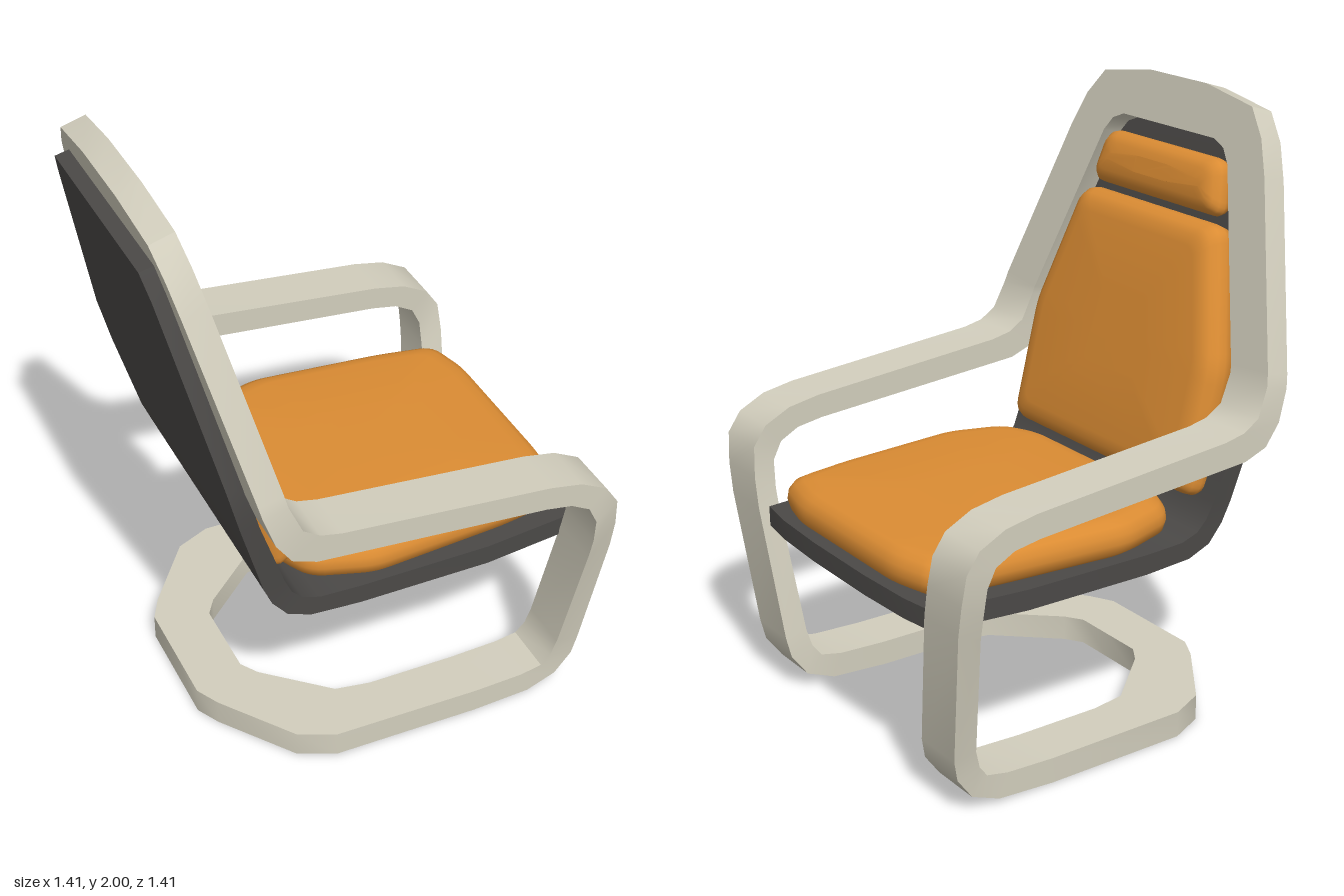
import * as THREE from 'three';
import { toCreasedNormals } from 'three/addons/utils/BufferGeometryUtils.js';

const V = (x, y, z) => new THREE.Vector3(x, y, z);

// Skins a list of equal-sized rings; either joined end to end or capped.
function loft(rings, closed, crease) {
  const n = rings[0].length, m = rings.length, index = [];
  const pts = rings.flat();
  for (let i = 0; i < (closed ? m : m - 1); i++) {
    for (let j = 0; j < n; j++) {
      const k = (j + 1) % n, a = i * n, b = ((i + 1) % m) * n;
      index.push(a + j, a + k, b + k, a + j, b + k, b + j);
    }
  }
  if (!closed) {
    const e = (m - 1) * n;
    for (let j = 1; j < n - 1; j++) index.push(0, j + 1, j, e, e + j, e + j + 1);
  }
  // Turn all faces outward, judged by the signed volume
  let volume = 0;
  for (let i = 0; i < index.length; i += 3) {
    volume += pts[index[i]].dot(pts[index[i + 1]].clone().cross(pts[index[i + 2]]));
  }
  if (volume < 0) index.reverse();
  const g = new THREE.BufferGeometry().setFromPoints(pts);
  g.setIndex(index);
  return toCreasedNormals(g, crease);
}

// Outline with its corners rounded by quadratic curves
function roundOutline(points, r) {
  const out = [], n = points.length;
  points.forEach((p, i) => {
    const c = new THREE.Vector2(...p);
    const toward = (q) => {
      const d = new THREE.Vector2(...q).sub(c);
      return c.clone().addScaledVector(d.normalize(), r);
    };
    const curve = new THREE.QuadraticBezierCurve(
      toward(points[(i + n - 1) % n]), c, toward(points[(i + 1) % n]));
    out.push(...curve.getPoints(5));
  });
  return out;
}

// Soft cushion: half outline in (along, across), mirrored, raised on a tilted plane
function cushion(half, r, thick, origin, along, normal) {
  const mirrored = half.slice().reverse().map(([u, v]) => [u, -v]);
  const outline = roundOutline([...half, ...mirrored], r);
  const U = Math.max(...half.map((p) => Math.abs(p[0])));
  const W = Math.max(...half.map((p) => p[1]));
  // inset from the outline, height as a share of the thickness
  const layers = [[0.035, 0], [0.008, 0.15], [0, 0.4], [0.004, 0.62], [0.02, 0.82],
    [0.045, 0.93], [0.08, 0.97]];
  const rings = layers.map(([d, h]) => outline.map((p) => origin.clone()
    .addScaledVector(along, p.x * (1 - d / U))
    .addScaledVector(normal, h * thick)
    .add(V(0, 0, p.y * (1 - d / W)))));
  rings.push(outline.map((p) => origin.clone().addScaledVector(along, p.x * 0.3)
    .addScaledVector(normal, thick).add(V(0, 0, p.y * 0.3))));
  return loft(rings, false, 0.9);
}

// Side profile of the bent frame: front face x, y and rear face x, y
const frameProfile = [
  [-0.61, 2.0, -0.69, 1.975], [-0.415, 1.18, -0.495, 1.16],
  [-0.375, 1.09, -0.46, 1.06], [-0.32, 1.055, -0.41, 0.99],
  [-0.25, 1.04, -0.33, 0.96], [0.45, 0.98, 0.44, 0.90],
  [0.56, 0.96, 0.53, 0.885], [0.65, 0.915, 0.595, 0.85],
  [0.695, 0.85, 0.625, 0.79], [0.705, 0.75, 0.63, 0.70],
  [0.705, 0.65, 0.628, 0.62], [0.67, 0.2, 0.592, 0.21],
  [0.655, 0.13, 0.575, 0.15], [0.60, 0.055, 0.545, 0.11],
  [0.50, 0.015, 0.47, 0.095], [0.3, 0.003, 0.3, 0.088], [-0.54, 0, -0.54, 0.088],
];

// Outer and inner rim: place along the profile and z, from top centre to base centre
const frameRims = [
  [0, 0, 0.19, 0], [0, 0.14, 0.19, 0.12], [0.043, 0.37, 0.19, 0.23],
  [0.146, 0.44, 0.215, 0.28], [0.28, 0.49, 0.27, 0.315],
  [0.95, 0.685, 0.97, 0.52], [1, 0.695, 1, 0.525],
  ...[2, 3, 4, 5, 6, 7, 8].map((s) => [s, 0.705, s, 0.53]),
  [9, 0.692, 9, 0.515], [10, 0.674, 10, 0.497], [11, 0.592, 11, 0.415],
  [12, 0.585, 12, 0.408], [13, 0.58, 13, 0.402], [14, 0.58, 14, 0.4],
  [15, 0.58, 15, 0.4], [15.595, 0.575, 15.36, 0.4], [15.74, 0.52, 15.5, 0.38],
  [15.95, 0.28, 15.74, 0.2], [16, 0.2, 15.786, 0.14], [16, 0, 15.786, 0],
];

function frameGeometry() {
  const at = (s, z, rear) => {
    const i = Math.min(Math.floor(s), frameProfile.length - 2), t = s - i;
    const mix = (k) => THREE.MathUtils.lerp(frameProfile[i][k], frameProfile[i + 1][k], t);
    return V(mix(rear), mix(rear + 1), z);
  };
  const ring = (side) => ([so, zo, si, zi]) => [
    at(so, side * zo, 0), at(so, side * zo, 2), at(si, side * zi, 2), at(si, side * zi, 0)];
  const back = frameRims.slice(1, -1).reverse();
  return loft([...frameRims.map(ring(1)), ...back.map(ring(-1))], true, 0.6);
}

// Shell: upper face x, y, under face x, y and half width, from back top to seat front
const shellProfile = [
  [-0.65, 1.87, -0.71, 1.855, 0.36], [-0.63, 1.79, -0.69, 1.775, 0.4],
  [-0.49, 1.18, -0.552, 1.18, 0.56], [-0.45, 1.02, -0.51, 1.02, 0.555],
  [-0.36, 0.76, -0.43, 0.75, 0.53], [-0.335, 0.705, -0.40, 0.68, 0.525],
  [-0.30, 0.67, -0.35, 0.62, 0.525], [-0.24, 0.65, -0.27, 0.588, 0.525],
  [-0.1, 0.645, -0.1, 0.578, 0.525], [0.35, 0.648, 0.35, 0.58, 0.523],
  [0.67, 0.65, 0.67, 0.584, 0.49], [0.69, 0.65, 0.69, 0.584, 0.36],
  [0.70, 0.65, 0.70, 0.584, 0.15],
];

export function createModel() {
  const model = new THREE.Group();
  model.name = 'armchair';
  const paint = (name, color) => {
    const m = new THREE.MeshStandardMaterial({ color });
    m.name = name;
    return m;
  };
  const cream = paint('cream frame', 0xd2cebd);
  const charcoal = paint('charcoal shell', 0x4b4947);
  const orange = paint('orange upholstery', 0xdb8c33);
  const add = (name, geometry, material) => {
    const mesh = new THREE.Mesh(geometry, material);
    mesh.name = name;
    model.add(mesh);
  };

  add('frame', frameGeometry(), cream);
  add('shell', loft(shellProfile.map(([ax, ay, bx, by, w]) => [
    V(ax, ay, w), V(bx, by, w), V(bx, by, -w), V(ax, ay, -w)]), false, 0.5), charcoal);

  // Cushions on the sloping back
  const up = V(-0.234, 0.972, 0), out = V(0.972, 0.234, 0);
  add('headCushion', cushion([[-0.095, 0.325], [0.085, 0.29]], 0.05, 0.1,
    V(-0.605, 1.69, 0), up, out), orange);
  add('backCushion', cushion([[-0.42, 0.475], [0.0, 0.475], [0.43, 0.345]], 0.05, 0.13,
    V(-0.49, 1.155, 0), up, out), orange);

  // Seat cushion
  add('seatCushion', cushion([[-0.49, 0.33], [-0.43, 0.45], [-0.23, 0.515], [0.25, 0.475],
    [0.455, 0.44], [0.495, 0.28]], 0.05, 0.128, V(0.185, 0.648, 0), V(1, 0, 0), V(0, 1, 0)), orange);

  return model;
}
